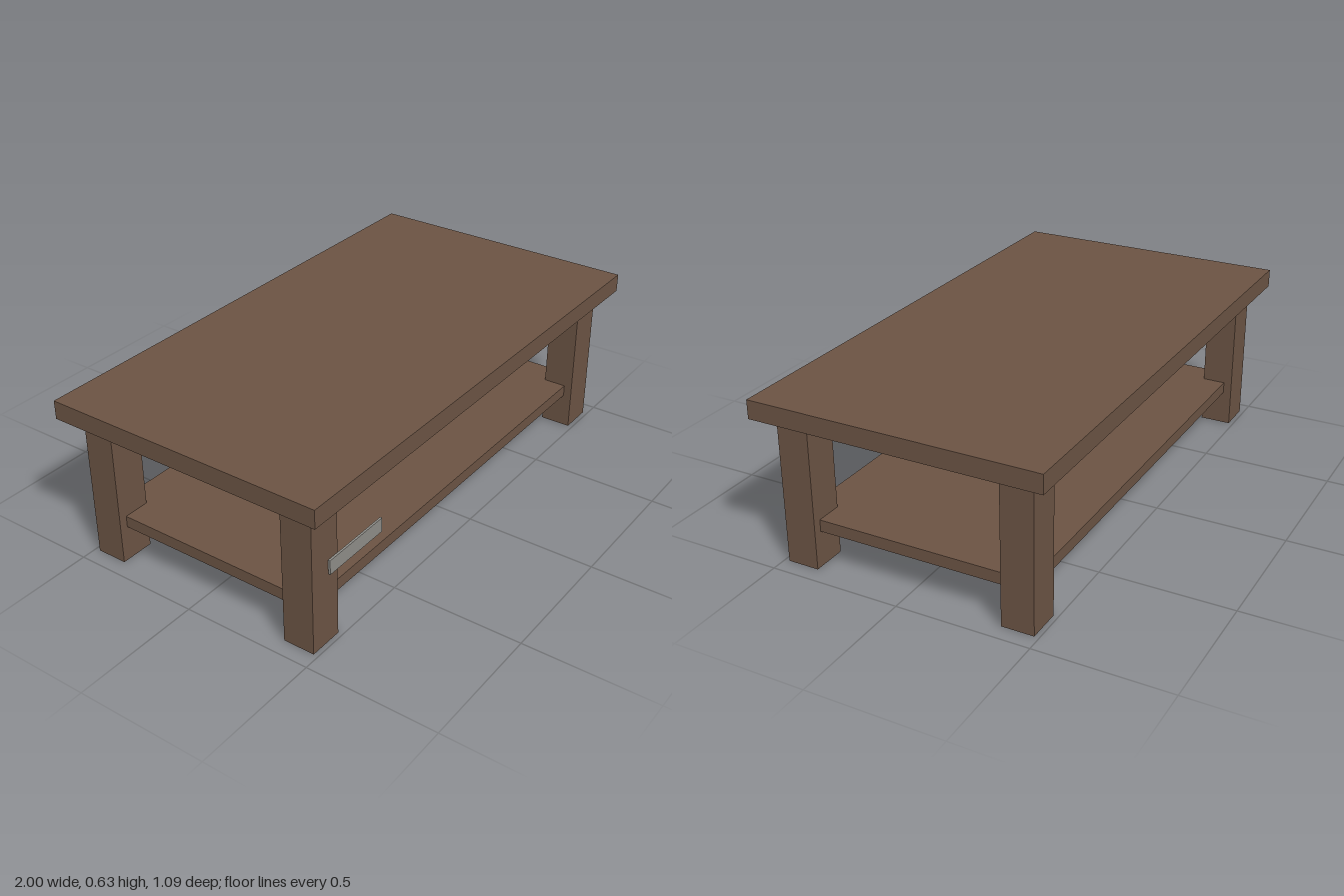
import * as THREE from 'three';

export function createModel() {
  const group = new THREE.Group();
  const wood = new THREE.MeshStandardMaterial({ color: 0x6b5343 });
  const metal = new THREE.MeshStandardMaterial({ color: 0x8e8d88 });

  // Box given by its minimum and maximum corners
  function box(name, min, max, material) {
    const size = max.map((v, i) => v - min[i]);
    const mesh = new THREE.Mesh(new THREE.BoxGeometry(...size), material);
    mesh.position.set(...max.map((v, i) => (v + min[i]) / 2));
    mesh.name = name;
    group.add(mesh);
    return mesh;
  }

  // Overhanging slab top
  box('tableTop', [-1, 0.56, -0.547], [1, 0.63, 0.547], wood);

  // Lower shelf, let into the legs at its corners
  box('lowerShelf', [-0.905, 0.135, -0.45], [0.905, 0.18, 0.45], wood);

  // Four square legs
  for (const [sx, side] of [[1, 'Left'], [-1, 'Right']]) {
    for (const [sz, end] of [[1, 'front'], [-1, 'back']]) {
      const leg = box(end + side + 'Leg', [0.803, 0, 0.361], [0.937, 0.56, 0.482], wood);
      leg.position.x *= sx;
      leg.position.z *= sz;
    }
  }

  // Thin metal plate on the front right leg
  box('metalPlate', [-0.855, 0.276, 0.484], [-0.568, 0.331, 0.492], metal);

  return group;
}
